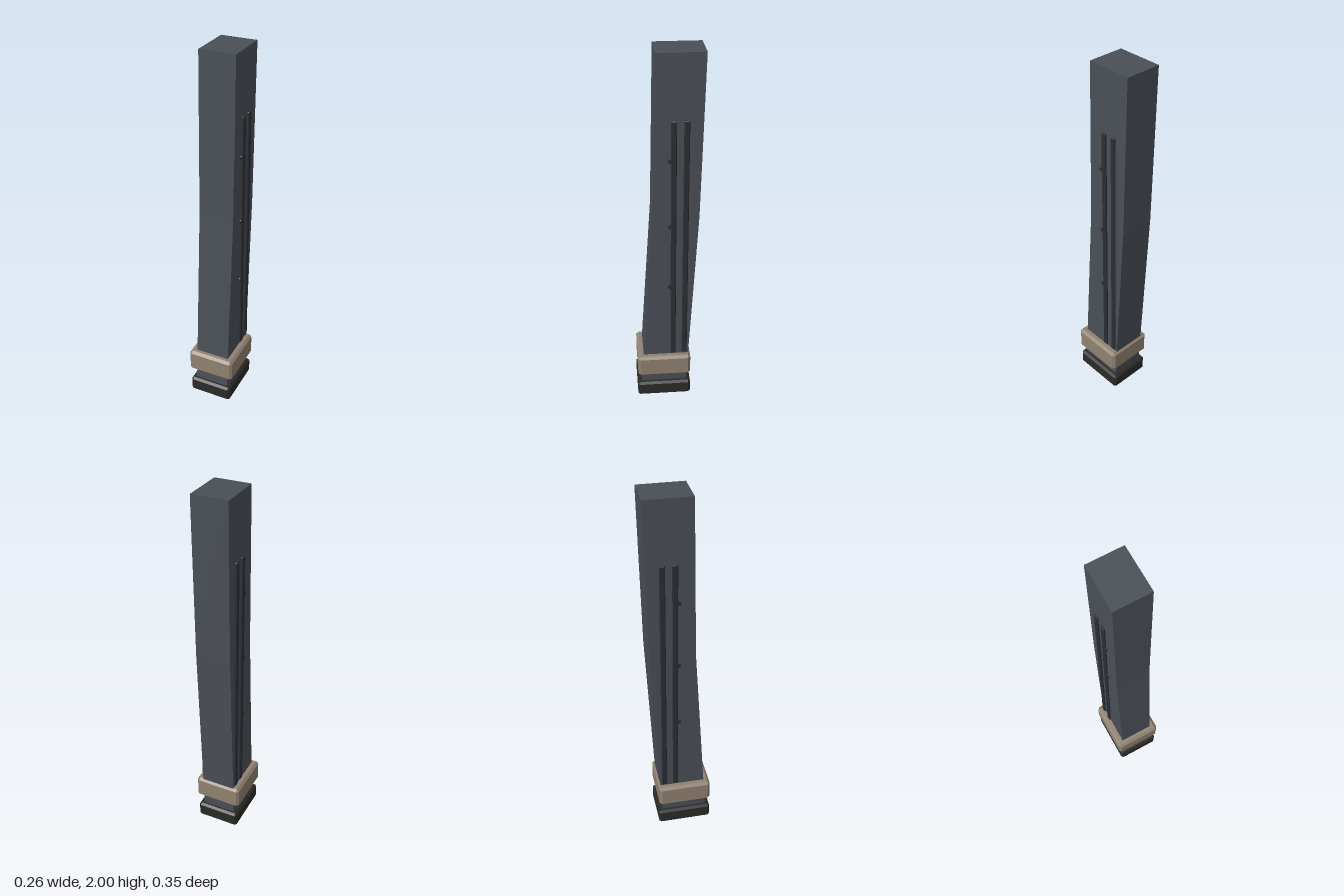
import * as THREE from 'three';
import { ConvexGeometry } from 'three/addons/geometries/ConvexGeometry.js';

const paint = (color) => new THREE.MeshStandardMaterial({ color, flatShading: true });

// Box with every edge cut at 45 degrees, given by its extents
function chamferBox([x0, x1], [y0, y1], [z0, z1], c) {
  const half = [(x1 - x0) / 2, (y1 - y0) / 2, (z1 - z0) / 2];
  const points = [];
  for (const sx of [-1, 1]) for (const sy of [-1, 1]) for (const sz of [-1, 1]) {
    for (let face = 0; face < 3; face++) {
      const [x, y, z] = half.map((h, i) => (i === face ? h : h - c));
      points.push(new THREE.Vector3(sx * x, sy * y, sz * z));
    }
  }
  const geometry = new ConvexGeometry(points);
  geometry.translate((x0 + x1) / 2, (y0 + y1) / 2, (z0 + z1) / 2);
  return geometry;
}

export function createModel() {
  const model = new THREE.Group();
  const steel = paint(0x4a4f57);
  const tan = paint(0x908270);
  const black = paint(0x2a2a28);
  const dark = paint(0x2b2e33);

  const add = (name, geometry, material) => {
    const mesh = new THREE.Mesh(geometry, material);
    mesh.name = name;
    model.add(mesh);
    return mesh;
  };

  // Bent body: side profile (z, y) extruded across the width
  const profile = new THREE.Shape([
    [0.155, 0.04], [0.139, 0.28], [0.082, 1.15], [0.064, 2],
    [-0.177, 2], [-0.158, 1.15], [-0.112, 0.28], [-0.1, 0.04],
  ].map(([z, y]) => new THREE.Vector2(z, y)));
  const body = new THREE.ExtrudeGeometry(profile, { depth: 0.19, bevelEnabled: false });
  body.translate(0, 0, -0.095).rotateY(-Math.PI / 2); // shape x becomes z
  add('body', body, steel);

  // Collar and base plate
  add('collar', chamferBox([-0.131, 0.131], [0.15, 0.28], [-0.123, 0.172], 0.014), tan);
  add('basePlate', chamferBox([-0.12, 0.12], [0, 0.09], [-0.125, 0.175], 0.012), black);

  // Ribs and small round studs on both sides
  for (const side of [-1, 1]) {
    const label = side > 0 ? 'left' : 'right';
    const span = side > 0 ? [0.085, 0.105] : [-0.105, -0.085];
    for (const z of [-0.026, -0.089]) {
      add(`${label}Rib`, chamferBox(span, [0.29, 1.675], [z - 0.014, z + 0.014], 0.004), dark);
    }
    for (const y of [0.735, 1.1, 1.465]) {
      const stud = add(`${label}Stud`, new THREE.CylinderGeometry(0.012, 0.012, 0.016, 12), dark);
      stud.rotation.z = Math.PI / 2;
      stud.position.set(side * 0.094, y, -0.008);
    }
  }
  return model;
}
